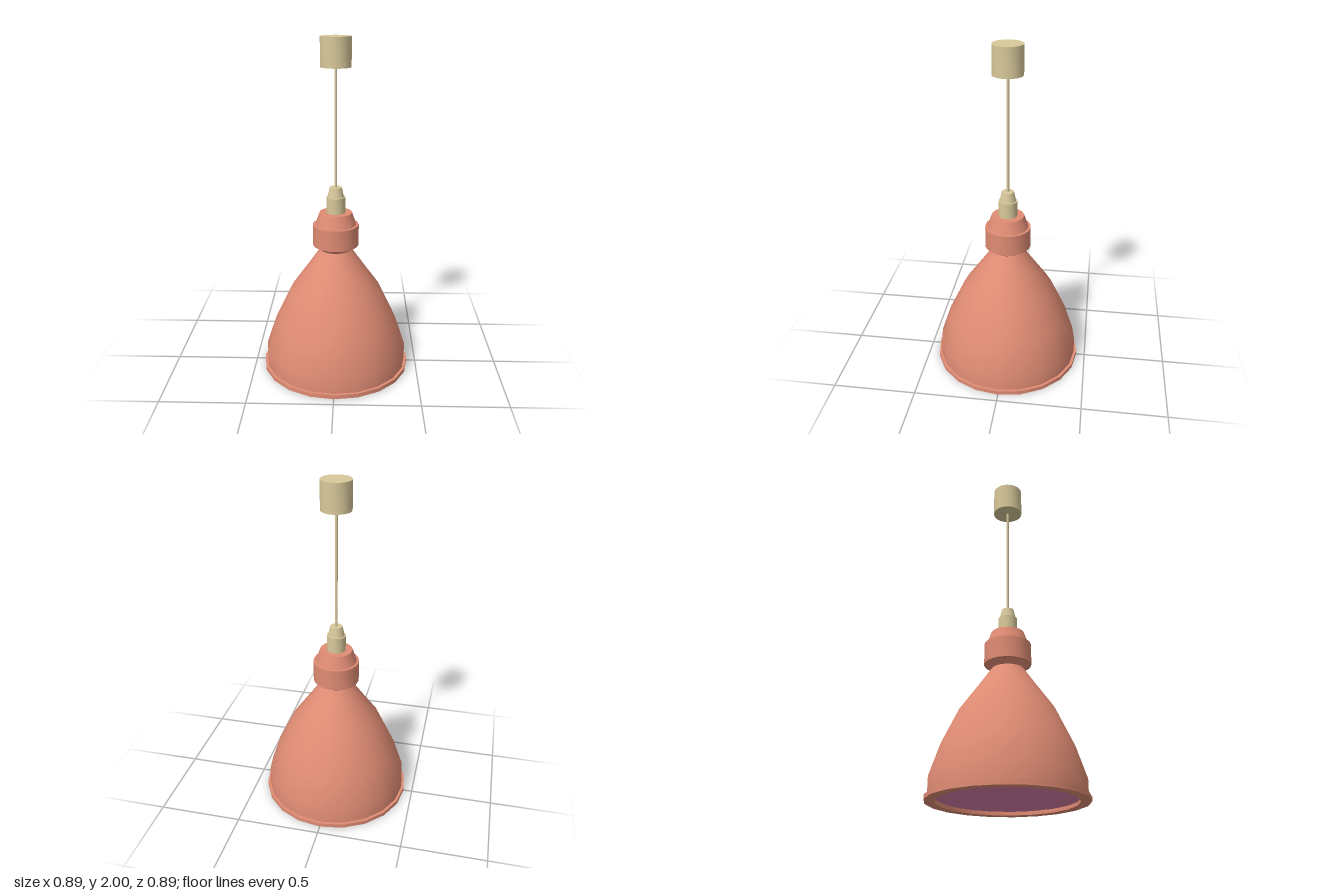
import * as THREE from 'three';
import { toCreasedNormals } from 'three/addons/utils/BufferGeometryUtils.js';

const SIDES = 20;

export function createModel() {
  const lamp = new THREE.Group();
  lamp.name = 'pendantLamp';

  const copper = new THREE.MeshStandardMaterial({ color: 0xe08c74 });
  const copperShell = new THREE.MeshStandardMaterial({ color: 0xe08c74, side: THREE.DoubleSide });
  const brass = new THREE.MeshStandardMaterial({ color: 0xd9c99b });
  const pink = new THREE.MeshStandardMaterial({ color: 0xd97fa8 });

  // Turned part: [radius, y] profile running bottom to top, sharp at its steps
  function turned(name, profile, material) {
    const points = profile.map(([r, y]) => new THREE.Vector2(r, y));
    const geometry = toCreasedNormals(new THREE.LatheGeometry(points, SIDES), 0.5);
    const mesh = new THREE.Mesh(geometry, material);
    mesh.name = name;
    lamp.add(mesh);
    return mesh;
  }

  // Bell shade with its flat lower rim
  turned('shade', [
    [0.43, 0.02], [0.43, 0.12], [0.37, 0.3], [0.275, 0.5], [0.168, 0.65], [0.092, 0.76],
  ], copperShell);
  turned('rim', [
    [0.388, 0], [0.447, 0], [0.447, 0.024], [0.388, 0.024], [0.388, 0],
  ], copper);

  // Diffuser closing the mouth of the shade, facing down
  turned('diffuser', [[0, 0.021], [0.425, 0.021]], pink);

  // Stepped collar above the shade
  turned('collar', [
    [0, 0.755], [0.092, 0.755], [0.122, 0.785], [0.137, 0.785], [0.137, 0.912],
    [0.122, 0.912], [0.097, 0.986], [0, 0.986],
  ], copper);

  // Cable grip, cord and ceiling cap
  turned('cableGrip', [
    [0, 0.985], [0.056, 0.985], [0.056, 1.082], [0.048, 1.082], [0.036, 1.14], [0, 1.14],
  ], brass);
  turned('cord', [[0.008, 1.13], [0.008, 1.84]], brass);
  turned('ceilingCap', [[0, 1.832], [0.088, 1.832], [0.088, 2], [0, 2]], brass);

  return lamp;
}
